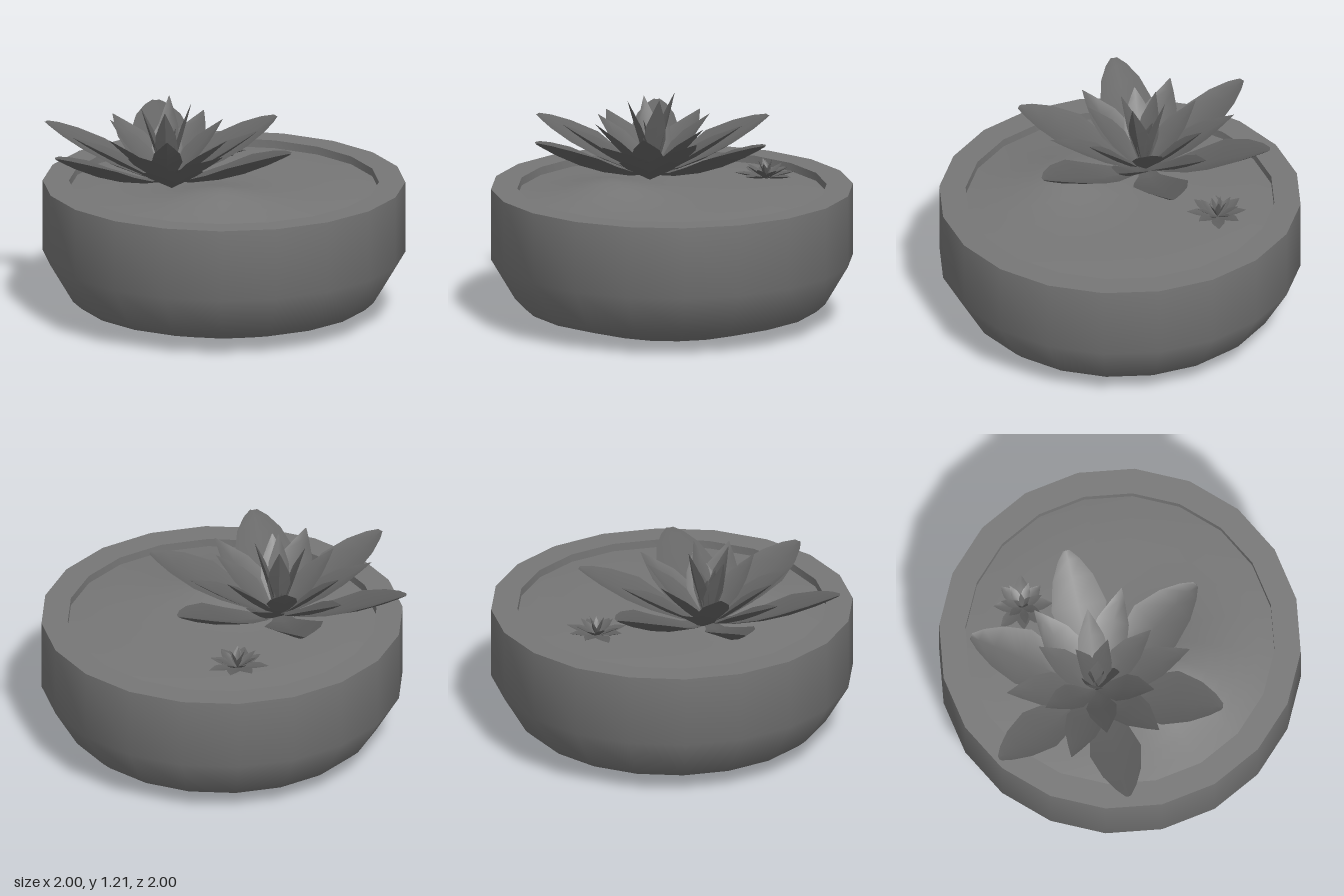
import * as THREE from 'three';
import { toCreasedNormals } from 'three/addons/utils/BufferGeometryUtils.js';

const paint = (color) => new THREE.MeshStandardMaterial({ color, side: THREE.DoubleSide });
const potMaterial = paint(0x777777);
const leafMaterial = paint(0x646464);

// width of a leaf along its length: [t, share of half width]
const BLUNT = [[0, 0.2], [0.2, 0.4], [0.42, 0.78], [0.62, 1], [0.82, 0.74], [0.94, 0.4], [1, 0.12]];
const POINTED = [[0, 0.25], [0.25, 0.6], [0.5, 1], [0.7, 0.85], [0.88, 0.38], [1, 0.02]];

// cupped leaf with a keel, growing along +x and curving up
function leafGeometry(reach, rise, halfWidth, power, outline, cup) {
  const positions = [], index = [];
  outline.forEach(([t, share], i) => {
    const w = halfWidth * share;
    const angle = Math.atan2(rise * power * Math.pow(Math.max(t, 0.01), power - 1), reach);
    const x = reach * t, y = rise * Math.pow(t, power);
    const section = [[w, cup * w], [0, cup * w * 0.45], [-w, cup * w], [0, 0]];
    for (const [side, lift] of section) {
      positions.push(x - Math.sin(angle) * lift, y + Math.cos(angle) * lift, side);
    }
    if (i === 0) return;
    for (let j = 0; j < 4; j++) {
      const k = (j + 1) % 4, a = (i - 1) * 4 + j, b = (i - 1) * 4 + k;
      const d = i * 4 + j, c = i * 4 + k;
      index.push(a, d, b, b, d, c);
    }
  });
  const geometry = new THREE.BufferGeometry();
  geometry.setAttribute('position', new THREE.Float32BufferAttribute(positions, 3));
  geometry.setIndex(index);
  return toCreasedNormals(geometry, 0.5);
}

// rings of leaves around one centre; widths repeat around the ring
function rosette(name, rings) {
  const plant = new THREE.Group();
  plant.name = name;
  for (const ring of rings) {
    for (let i = 0; i < ring.count; i++) {
      const vary = ring.vary * Math.sin(i * 2.4 + ring.count);
      const width = ring.widths[i % ring.widths.length];
      const leaf = new THREE.Mesh(
        leafGeometry(ring.reach * (1 + vary), ring.rise * (1 - vary), width, ring.power, ring.outline, ring.cup),
        leafMaterial);
      leaf.name = ring.name;
      leaf.rotation.y = -THREE.MathUtils.degToRad(ring.turn + (360 * i) / ring.count);
      plant.add(leaf);
    }
  }
  return plant;
}

// soil disc with a broad, soft mound
function soilGeometry(radius) {
  const geometry = new THREE.RingGeometry(0.001, radius, 20, 10);
  geometry.rotateX(-Math.PI / 2);
  const p = geometry.attributes.position;
  for (let i = 0; i < p.count; i++) {
    const x = p.getX(i), z = p.getZ(i);
    const fade = 1 - Math.pow(Math.hypot(x, z) / radius, 4);
    const distance = Math.hypot(x + 0.25, z - 0.27);
    const mound = 0.085 * Math.exp(-Math.pow(distance, 1.5) / 0.16);
    p.setY(i, 0.715 + fade * (mound + 0.025));
  }
  geometry.computeVertexNormals();
  return geometry;
}

export function createModel() {
  const model = new THREE.Group();
  model.name = 'pottedSucculents';

  // pot shell, open underneath, with a flat rim and an inner lip
  const profile = [[0.5, 0], [0.82, 0.095], [0.87, 0.14], [1, 0.36], [1, 0.76], [0.855, 0.76], [0.855, 0.61]]
    .map(([r, y]) => new THREE.Vector2(r, y));
  const pot = new THREE.Mesh(toCreasedNormals(new THREE.LatheGeometry(profile, 20), 0.9), potMaterial);
  pot.name = 'pot';
  model.add(pot);

  const soil = new THREE.Mesh(soilGeometry(0.855), potMaterial);
  soil.name = 'soil';
  model.add(soil);

  // large rosette
  const large = rosette('largeSucculent', [
    { name: 'outerLeaf', count: 6, turn: 0, reach: 0.74, rise: 0.25, widths: [0.155, 0.165, 0.165, 0.145, 0.135, 0.165], power: 1.9, outline: BLUNT, cup: 0.45, vary: 0.02 },
    { name: 'middleLeaf', count: 6, turn: 29, reach: 0.51, rise: 0.27, widths: [0.105], power: 1.4, outline: POINTED, cup: 0.4, vary: 0.04 },
    { name: 'upperLeaf', count: 6, turn: 5, reach: 0.36, rise: 0.3, widths: [0.085], power: 1.3, outline: POINTED, cup: 0.4, vary: 0.06 },
    { name: 'innerLeaf', count: 4, turn: 40, reach: 0.14, rise: 0.43, widths: [0.065], power: 1.2, outline: POINTED, cup: 0.4, vary: 0.06 },
    { name: 'budLeaf', count: 3, turn: 20, reach: 0.05, rise: 0.3, widths: [0.055], power: 1.1, outline: POINTED, cup: 0.4, vary: 0.06 },
  ]);
  large.position.set(-0.25, 0.755, -0.19);
  model.add(large);

  // small rosette
  const small = rosette('smallSucculent', [
    { name: 'outerLeaf', count: 8, turn: 10, reach: 0.165, rise: 0.035, widths: [0.038], power: 1.6, outline: POINTED, cup: 0.4, vary: 0.1 },
    { name: 'middleLeaf', count: 7, turn: 30, reach: 0.115, rise: 0.07, widths: [0.024], power: 1.3, outline: POINTED, cup: 0.4, vary: 0.1 },
    { name: 'innerLeaf', count: 5, turn: 0, reach: 0.045, rise: 0.1, widths: [0.016], power: 1.2, outline: POINTED, cup: 0.4, vary: 0.1 },
  ]);
  small.position.set(0.31, 0.75, -0.48);
  model.add(small);

  return model;
}
